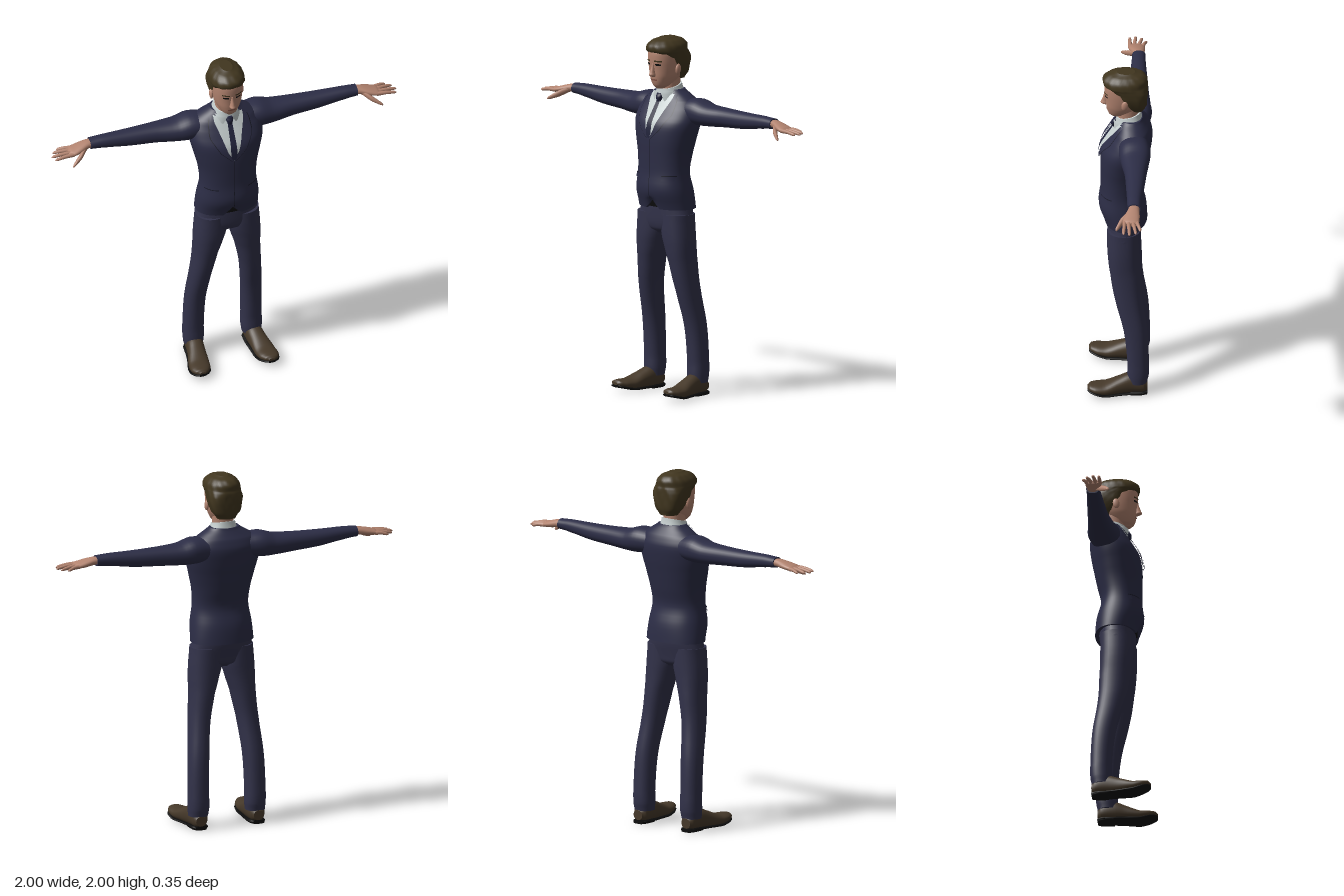
import * as THREE from 'three';

const mat = (name, color) => Object.assign(new THREE.MeshStandardMaterial({ color }), { name });

// Section at t: [t, a, b, ra, rb, power], smoothly interpolated between rings
function sectionAt(rings, t) {
  let i = 0;
  while (i < rings.length - 2 && t > rings[i + 1][0]) i++;
  const at = (k) => rings[Math.max(0, Math.min(rings.length - 1, k))];
  const [p, q, r, s] = [at(i - 1), at(i), at(i + 1), at(i + 2)];
  const f = Math.max(0, Math.min(1, (t - q[0]) / (r[0] - q[0])));
  const out = [t];
  for (let k = 1; k < 6; k++) {
    const [a, b, c, d] = [p, q, r, s].map((e) => e[k] ?? 2.2);
    out.push(b + 0.5 * f * (c - a + f * (2 * a - 5 * b + 4 * c - d + f * (3 * (b - c) + d - a))));
  }
  return out;
}

// Skin over superellipse rings along an axis; (a, b) = (x, z) for y, (z, y) for x, (y, x) for z
const ORDER = { y: [1, 0, 2], x: [0, 2, 1], z: [2, 1, 0] };
function loft(axis, rings, { tweak, seg = 32, steps = 4 } = {}) {
  const pos = [], idx = [], order = ORDER[axis], rows = [];
  for (let i = 0; i < rings.length - 1; i++) {
    for (let j = 0; j < steps; j++) rows.push(rings[i][0] + (rings[i + 1][0] - rings[i][0]) * j / steps);
  }
  rows.push(rings[rings.length - 1][0]);
  const add = (t, a, b) => {
    const v = [0, 0, 0];
    [t, a, b].forEach((c, k) => { v[order[k]] = c; });
    const p = new THREE.Vector3(...v);
    if (tweak) tweak(p);
    pos.push(p.x, p.y, p.z);
  };
  const ring = (t) => {
    const [, a, b, ra, rb, pw] = sectionAt(rings, t);
    for (let k = 0; k < seg; k++) {
      const c = Math.cos(k / seg * 2 * Math.PI), s = Math.sin(k / seg * 2 * Math.PI);
      add(t, a + ra * Math.sign(c) * Math.abs(c) ** (2 / pw), b + rb * Math.sign(s) * Math.abs(s) ** (2 / pw));
    }
  };
  rows.forEach(ring);
  for (let r = 0; r < rows.length - 1; r++) {
    for (let k = 0; k < seg; k++) {
      const a = r * seg + k, b = r * seg + (k + 1) % seg;
      idx.push(a, a + seg, b, b, a + seg, b + seg);
    }
  }
  // end caps keep their own vertices so rims stay crisp
  [rows[0], rows[rows.length - 1]].forEach((t, end) => {
    const base = pos.length / 3, s = sectionAt(rings, t);
    ring(t);
    add(t, s[1], s[2]);
    for (let k = 0; k < seg; k++) {
      const a = base + k, b = base + (k + 1) % seg;
      idx.push(base + seg, ...(end ? [b, a] : [a, b]));
    }
  });
  const g = new THREE.BufferGeometry();
  g.setAttribute('position', new THREE.Float32BufferAttribute(pos, 3));
  g.setIndex(idx);
  g.computeVertexNormals();
  return g;
}

// Piecewise linear profile: [[y, x], ...]
const profile = (pts) => (y) => {
  let i = 0;
  while (i < pts.length - 2 && y > pts[i + 1][0]) i++;
  return THREE.MathUtils.mapLinear(y, pts[i][0], pts[i + 1][0], pts[i][1], pts[i + 1][1]);
};

// Thin sheet lying on the front of a lofted body, between two x edges
function patch(rings, y0, y1, inner, outer, lift) {
  const edge = (e, y) => (typeof e === 'function' ? e(y) : e);
  const g = new THREE.PlaneGeometry(1, 1, 10, 16), p = g.attributes.position;
  for (let i = 0; i < p.count; i++) {
    const y = y0 + (y1 - y0) * (p.getY(i) + 0.5);
    const x = THREE.MathUtils.lerp(edge(inner, y), edge(outer, y), p.getX(i) + 0.5);
    const [, cx, cz, rx, rz, pw] = sectionAt(rings, y);
    const k = Math.min(1, Math.abs(x - cx) / rx);
    p.setXYZ(i, x, y, cz + rz * (1 - k ** pw) ** (1 / pw) + lift);
  }
  g.computeVertexNormals();
  return g;
}

function mirrored(geometry) {
  const g = geometry.clone().scale(-1, 1, 1), a = g.index.array;
  for (let i = 0; i < a.length; i += 3) [a[i], a[i + 1]] = [a[i + 1], a[i]];
  g.computeVertexNormals();
  return g;
}

export function createModel() {
  const root = new THREE.Group();
  root.name = 'suitedMan';
  const jacket = mat('jacketNavy', 0x2c2d46), trousers = mat('trouserNavy', 0x32324a);
  const seam = mat('seamDark', 0x181926), tie = mat('tieNavy', 0x20223a);
  const shirt = mat('shirtWhite', 0xc6cfcf), skin = mat('skin', 0xb38470);
  const hair = mat('hairBrown', 0x41361f), shoe = mat('shoeBrown', 0x46392a);
  const black = mat('black', 0x0c0c0c), lip = mat('lip', 0x8c5a4c);
  const part = (name, g, m) => {
    const mesh = new THREE.Mesh(g, m);
    mesh.name = name;
    root.add(mesh);
  };
  const pair = (name, g, m) => {
    part(name + 'Left', g, m);
    part(name + 'Right', mirrored(g), m);
  };

  // Jacket body with a cutaway at the front hem
  const torso = [
    [1.05, 0, -0.03, 0.18, 0.118], [1.15, 0, -0.01, 0.174, 0.13], [1.25, 0, -0.002, 0.16, 0.113],
    [1.35, 0, -0.012, 0.167, 0.123], [1.45, 0, -0.022, 0.19, 0.133], [1.53, 0, -0.035, 0.208, 0.135],
    [1.6, 0, -0.058, 0.205, 0.118], [1.65, 0, -0.065, 0.175, 0.095], [1.68, 0, -0.063, 0.13, 0.076],
    [1.71, 0, -0.06, 0.085, 0.062]];
  part('jacketBody', loft('y', torso, {
    seg: 72,
    tweak: (p) => {
      if (p.z > 0.03 && p.y < 1.12) p.y += 0.05 * Math.max(0, 1 - Math.abs(p.x) / 0.05) * (1.12 - p.y) / 0.07;
    },
  }), jacket);
  part('frontSeam', patch(torso, 1.1, 1.44, -0.001, 0.003, 0.002), seam);
  pair('pocketFlap', patch(torso, 1.215, 1.24, 0.085, 0.152, 0.008), jacket);
  pair('pocketSeam', patch(torso, 1.24, 1.245, 0.085, 0.152, 0.007), seam);

  // Shirt front, lapels and tie
  const opening = profile([[1.44, 0], [1.5, 0.032], [1.6, 0.064], [1.66, 0.085], [1.69, 0.085]]);
  const lapelEdge = profile([[1.44, 0.006], [1.5, 0.07], [1.58, 0.118], [1.6, 0.12], [1.65, 0.115], [1.69, 0.1]]);
  part('shirtFront', patch(torso, 1.44, 1.69, (y) => -opening(y), opening, 0.004), shirt);
  pair('lapel', patch(torso, 1.44, 1.69, opening, lapelEdge, 0.01), jacket);
  pair('lapelEdge', patch(torso, 1.44, 1.67, lapelEdge, (y) => lapelEdge(y) + 0.005, 0.008), seam);
  const tieHalf = profile([[1.45, 0.009], [1.48, 0.019], [1.66, 0.013]]);
  part('tie', patch(torso, 1.45, 1.66, (y) => -tieHalf(y), tieHalf, 0.013), tie);
  part('tieKnot', loft('y', [[1.645, 0, 0.036, 0.012, 0.014], [1.67, 0, 0.034, 0.02, 0.018],
    [1.688, 0, 0.028, 0.02, 0.014]], { seg: 16 }), tie);

  // Shirt collar, higher at the back
  const collar = [[1.63, 0, -0.05, 0.092, 0.08], [1.69, 0, -0.045, 0.079, 0.074], [1.73, 0, -0.045, 0.066, 0.068]];
  part('shirtCollar', loft('y', collar, { tweak: (p) => { p.y -= 0.25 * (p.z + 0.045); } }), shirt);
  pair('collarWing', patch(collar, 1.645, 1.7, profile([[1.645, 0.038], [1.7, 0.01]]),
    profile([[1.645, 0.042], [1.7, 0.074]]), 0.009), shirt);

  // Sleeves
  pair('sleeve', loft('x', [
    [0.1, -0.075, 1.595, 0.08, 0.065], [0.2, -0.082, 1.596, 0.088, 0.073], [0.28, -0.085, 1.586, 0.078, 0.061],
    [0.4, -0.09, 1.587, 0.061, 0.053], [0.55, -0.09, 1.59, 0.05, 0.046], [0.7, -0.088, 1.6, 0.04, 0.035],
    [0.775, -0.088, 1.602, 0.037, 0.029]]), jacket);

  // Hands
  pair('palm', loft('x', [
    [0.75, -0.088, 1.602, 0.03, 0.022], [0.79, -0.086, 1.602, 0.032, 0.022], [0.84, -0.078, 1.592, 0.043, 0.021],
    [0.885, -0.072, 1.584, 0.046, 0.016], [0.905, -0.072, 1.581, 0.038, 0.01]], { seg: 20 }), skin);
  [[-0.106, 0.955, -0.124], [-0.084, 0.985, -0.1], [-0.06, 1.0, -0.066], [-0.038, 0.99, -0.034]].forEach(([z0, x1, z1], i) => {
    const mid = (0.88 + x1) / 2;
    pair('finger' + (i + 1), loft('x', [
      [0.88, z0, 1.583, 0.012, 0.012], [mid, (z0 + z1) / 2, 1.582, 0.01, 0.01],
      [x1 - 0.01, z1, 1.575, 0.008, 0.008], [x1, z1, 1.573, 0.003, 0.003]], { seg: 10, steps: 2 }), skin);
  });
  pair('thumb', loft('x', [
    [0.795, -0.07, 1.595, 0.014, 0.014], [0.835, -0.035, 1.574, 0.017, 0.018], [0.87, -0.01, 1.555, 0.012, 0.014],
    [0.892, 0.004, 1.543, 0.009, 0.009], [0.9, 0.008, 1.538, 0.003, 0.004]], { seg: 12, steps: 3 }), skin);

  // Trousers and belt
  part('trouserSeat', loft('y', [
    [0.905, 0, -0.022, 0.07, 0.05], [0.93, 0, -0.021, 0.15, 0.082], [0.97, 0, -0.02, 0.183, 0.092],
    [1.04, 0, -0.025, 0.172, 0.1], [1.09, 0, -0.025, 0.165, 0.1]]), trousers);
  pair('trouserLeg', loft('y', [
    [0.075, 0.169, -0.097, 0.055, 0.054], [0.12, 0.168, -0.1, 0.059, 0.06], [0.2, 0.168, -0.1, 0.058, 0.06],
    [0.4, 0.162, -0.085, 0.058, 0.065], [0.6, 0.143, -0.046, 0.06, 0.075], [0.75, 0.122, -0.03, 0.07, 0.085],
    [0.85, 0.106, -0.022, 0.085, 0.09], [0.92, 0.095, -0.02, 0.093, 0.092], [1.02, 0.09, -0.02, 0.09, 0.092]]), trousers);
  part('belt', loft('y', [[1.06, 0, -0.025, 0.17, 0.107], [1.095, 0, -0.022, 0.167, 0.107]], { steps: 1 }), black);

  // Shoes with lifted toes
  const toeLift = (p) => { p.y += 0.25 * Math.max(0, p.z - 0.08); };
  const upper = [
    [-0.152, 0.05, 0.172, 0.028, 0.03], [-0.13, 0.058, 0.17, 0.048, 0.044], [-0.06, 0.065, 0.172, 0.06, 0.049],
    [0, 0.055, 0.18, 0.05, 0.052], [0.07, 0.042, 0.191, 0.034, 0.059], [0.13, 0.033, 0.198, 0.026, 0.056],
    [0.165, 0.03, 0.201, 0.018, 0.038], [0.178, 0.026, 0.201, 0.008, 0.018]];
  pair('shoeUpper', loft('z', upper, { tweak: (p) => { p.y = Math.max(p.y, 0.016); toeLift(p); } }), shoe);
  pair('shoeSole', loft('z', upper.map(([z, , x, , rx]) => [z, 0.014, x, 0.008, rx + 0.003, 3]), { tweak: toeLift }), black);
  pair('shoeHeel', loft('z', [[-0.15, 0.012, 0.172, 0.012, 0.034, 4], [-0.12, 0.012, 0.171, 0.012, 0.046, 4],
    [-0.06, 0.012, 0.172, 0.012, 0.047, 4]], { seg: 24 }), black);

  // Neck and head
  part('neck', loft('y', [[1.64, 0, -0.045, 0.06, 0.062], [1.72, 0, -0.042, 0.058, 0.06],
    [1.8, 0, -0.045, 0.06, 0.062]]), skin);
  const head = [
    [1.718, 0, 0.022, 0.022, 0.028], [1.735, 0, 0.008, 0.045, 0.058], [1.76, 0, -0.006, 0.061, 0.081],
    [1.79, 0, -0.015, 0.074, 0.095], [1.83, 0, -0.02, 0.082, 0.103], [1.88, 0, -0.022, 0.086, 0.11],
    [1.93, 0, -0.024, 0.084, 0.109], [1.965, 0, -0.026, 0.065, 0.085], [1.985, 0, -0.026, 0.03, 0.04]];
  part('head', loft('y', head), skin);
  part('nose', loft('y', [
    [1.787, 0, 0.076, 0.011, 0.012], [1.797, 0, 0.088, 0.017, 0.021], [1.812, 0, 0.086, 0.013, 0.019],
    [1.84, 0, 0.081, 0.009, 0.014], [1.865, 0, 0.08, 0.007, 0.009]], { seg: 16 }), skin);
  part('mouth', patch(head, 1.765, 1.774, -0.024, 0.024, 0.003), lip);
  pair('eye', patch(head, 1.852, 1.862, 0.02, 0.05, 0.002), black);
  pair('eyebrow', patch(head, 1.873, 1.881, 0.016, 0.056, 0.004), hair);
  pair('ear', new THREE.SphereGeometry(1, 14, 12).scale(0.011, 0.03, 0.019).rotateX(-0.15)
    .translate(0.088, 1.828, -0.025), skin);

  // Short hair swept up at the front, with soft wavy locks
  part('hair', loft('y', [
    [1.765, 0, -0.088, 0.052, 0.045, 2.4], [1.8, 0, -0.085, 0.076, 0.06, 2.8], [1.85, 0, -0.071, 0.091, 0.078, 3.4],
    [1.89, 0, -0.06, 0.095, 0.09, 3.2], [1.915, 0, -0.04, 0.096, 0.11, 2.6], [1.93, 0, -0.026, 0.097, 0.121, 2.3],
    [1.96, 0, -0.026, 0.09, 0.121, 2.2], [1.985, 0, -0.03, 0.067, 0.094, 2.2], [2, 0, -0.03, 0.034, 0.05, 2.2]], {
    seg: 64,
    tweak: (p) => {
      const angle = Math.atan2(p.x, p.z + 0.03);
      const wave = 1 + 0.018 * Math.sin(angle * 13 + p.y * 60) * (p.y < 1.99 ? 1 : 0);
      p.x *= wave;
      p.z = -0.03 + (p.z + 0.03) * wave;
    },
  }), hair);

  return root;
}
